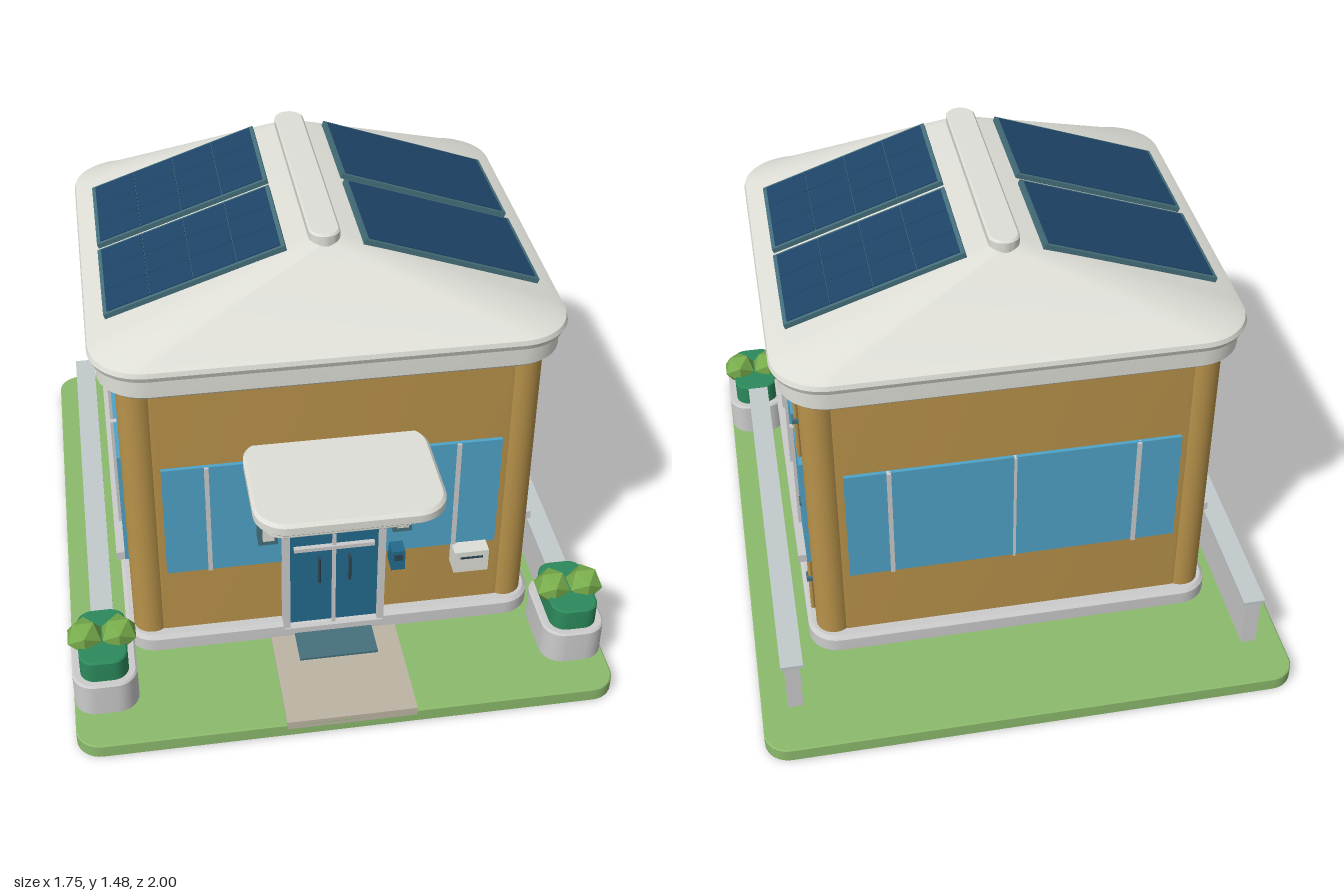
import * as THREE from 'three';
import { toCreasedNormals } from 'three/addons/utils/BufferGeometryUtils.js';

const C = {
  grey: 0xcccccc, roof: 0xdfdfd8, ochre: 0xb8924a, glass: 0x4fa3c7, door: 0x23698c, cell: 0x1f4468,
  panel: 0x46707c, dark: 0x2c4450, lawn: 0x8cba6c, path: 0xbcb5a3, crate: 0x2c8a5c, leaf: 0x78ad4c, coping: 0xc2cacc,
};
const mats = {};
const mat = (color, flatShading = false) =>
  (mats[color + '-' + flatShading] ??= new THREE.MeshStandardMaterial({ color, flatShading }));

function add(parent, name, geometry, color, x = 0, y = 0, z = 0, flat = false) {
  const mesh = new THREE.Mesh(geometry, mat(color, flat));
  mesh.name = name;
  mesh.position.set(x, y, z);
  parent.add(mesh);
  return mesh;
}

// Box given by its lower and upper limits on each axis
const box = (parent, name, color, [x0, x1], [y0, y1], [z0, z1]) =>
  add(parent, name, new THREE.BoxGeometry(x1 - x0, y1 - y0, z1 - z0), color, (x0 + x1) / 2, (y0 + y1) / 2, (z0 + z1) / 2);

// Capped loft through rounded rectangles [half width, half depth, corner radius, height]
function loft(sections, n = 8) {
  const pos = [], idx = [], count = 4 * (n + 1);
  for (const [hx, hz, r, y] of sections)
    for (let q = 0; q < 4; q++)
      for (let k = 0; k <= n; k++) {
        const a = (q + k / n) * Math.PI / 2;
        const sx = q === 0 || q === 3 ? 1 : -1, sz = q < 2 ? -1 : 1;
        pos.push(sx * (hx - r) + r * Math.cos(a), y, sz * (hz - r) - r * Math.sin(a));
      }
  const last = (sections.length - 1) * count, bottom = pos.length / 3, top = bottom + 1;
  pos.push(0, sections[0][3], 0, 0, sections.at(-1)[3], 0);
  for (let i = 0; i < count; i++) {
    const j = (i + 1) % count;
    for (let o = 0; o < last; o += count)
      idx.push(o + i, o + j, o + count + j, o + i, o + count + j, o + count + i);
    idx.push(bottom, j, i, top, last + i, last + j);
  }
  const g = new THREE.BufferGeometry();
  g.setAttribute('position', new THREE.Float32BufferAttribute(pos, 3));
  g.setIndex(idx);
  return toCreasedNormals(g, 0.6);
}

// Rounded slab with softened upper and lower edges
const slab = (hx, hz, r, y0, y1, b = 0.01) =>
  loft([[hx - b, hz - b, r - b, y0], [hx, hz, r, y0 + b], [hx, hz, r, y1 - b], [hx - b, hz - b, r - b, y1]]);

function solarPanel(parent, side, z) {
  const panel = new THREE.Group();
  panel.name = 'solarPanel';
  panel.position.set(side * 0.395, 1.341, z);
  panel.rotation.z = -side * 0.335;
  box(panel, 'panelFrame', C.panel, [-0.292, 0.292], [-0.014, 0.006], [-0.19, 0.19]);
  for (let i = 0; i < 4; i++)
    for (let j = 0; j < 3; j++)
      add(panel, 'solarCell', new THREE.BoxGeometry(0.138, 0.006, 0.118), C.cell, (i - 1.5) * 0.14, 0.006, (j - 1) * 0.12);
  parent.add(panel);
}

function planter(parent, side) {
  const g = new THREE.Group();
  g.name = 'planter';
  g.position.set(side * 0.765, 0, 0.72);
  add(g, 'planterBase', slab(0.103, 0.145, 0.07, 0.045, 0.172, 0.006), C.grey);
  add(g, 'plantBox', slab(0.077, 0.122, 0.05, 0.165, 0.25, 0.005), C.crate);
  for (const s of [-1, 1])
    add(g, 'bush', new THREE.IcosahedronGeometry(0.062, 0), C.leaf, s * 0.055, 0.258, 0, true);
  parent.add(g);
}

function entrance(parent) {
  const g = new THREE.Group();
  g.name = 'entrance';
  box(g, 'doorLeaves', C.door, [-0.15, 0.15], [0.09, 0.66], [0.57, 0.612]);
  for (const s of [-1, 1]) {
    box(g, 'doorJamb', C.grey, [s * 0.157 - 0.011, s * 0.157 + 0.011], [0.09, 0.67], [0.57, 0.63]);
    add(g, 'doorHandle', new THREE.CylinderGeometry(0.005, 0.005, 0.1, 10), C.dark, s * 0.05, 0.35, 0.632);
    for (const y of [0.31, 0.39]) box(g, 'handleMount', C.dark, [s * 0.05 - 0.004, s * 0.05 + 0.004], [y - 0.004, y + 0.004], [0.61, 0.632]);
    // Wall lamps on either side
    const x = s * 0.217;
    box(g, 'lampHousing', C.panel, [x - 0.031, x + 0.031], [0.49, 0.6], [0.58, 0.64]);
    box(g, 'lampLens', C.roof, [x - 0.018, x + 0.018], [0.515, 0.575], [0.63, 0.652]);
  }
  box(g, 'doorMullion', C.grey, [-0.006, 0.006], [0.1, 0.66], [0.6, 0.622]);
  box(g, 'doorRail', C.grey, [-0.132, 0.132], [0.431, 0.445], [0.6, 0.628]);
  box(g, 'threshold', C.grey, [-0.165, 0.165], [0.085, 0.105], [0.57, 0.635]);
  add(g, 'lowerCanopy', slab(0.245, 0.125, 0.06, 0.657, 0.704), C.roof, 0, 0, 0.69);
  add(g, 'upperCanopy', slab(0.29, 0.215, 0.1, 0.802, 0.848), C.roof, 0, 0, 0.755);
  box(g, 'path', C.path, [-0.21, 0.21], [0.03, 0.06], [0.6, 1]);
  box(g, 'doormat', C.panel, [-0.13, 0.13], [0.055, 0.068], [0.61, 0.74]);
  // Door intercom and letter box
  box(g, 'intercom', C.door, [0.185, 0.23], [0.33, 0.408], [0.58, 0.645]);
  box(g, 'intercomScreen', C.dark, [0.194, 0.221], [0.372, 0.395], [0.64, 0.649]);
  box(g, 'letterBox', C.roof, [0.395, 0.51], [0.29, 0.375], [0.58, 0.645]);
  box(g, 'letterSlot', C.dark, [0.415, 0.49], [0.348, 0.355], [0.64, 0.648]);
  parent.add(g);
}

export function createModel() {
  const model = new THREE.Group();
  model.name = 'house';
  add(model, 'lawn', slab(0.87, 1, 0.08, 0, 0.05, 0.004), C.lawn);

  // Body: plinth, rounded walls, corner columns
  add(model, 'plinth', slab(0.685, 0.62, 0.1, 0.045, 0.115, 0.012), C.grey);
  add(model, 'walls', loft([[0.65, 0.58, 0.1, 0.1], [0.65, 0.58, 0.1, 1.13]]), C.ochre);
  for (const sx of [-1, 1])
    for (const sz of [-1, 1])
      add(model, 'cornerColumn', new THREE.CylinderGeometry(0.06, 0.06, 1.02, 24), C.ochre, sx * 0.598, 0.61, sz * 0.53);

  // Eaves, hipped roof and ridge cap
  add(model, 'eaves', slab(0.71, 0.645, 0.15, 1.1, 1.18, 0.012), C.roof);
  add(model, 'roof', loft([
    [0.7, 0.635, 0.14, 1.165], [0.725, 0.66, 0.165, 1.178], [0.732, 0.667, 0.17, 1.195],
    [0.728, 0.663, 0.17, 1.21], [0.7, 0.637, 0.16, 1.224], [0.055, 0.41, 0.05, 1.449],
  ], 12), C.roof);
  add(model, 'ridgeCap', slab(0.048, 0.418, 0.047, 1.435, 1.48, 0.006), C.roof);

  // Front and back window bands with mullions
  for (const s of [-1, 1]) {
    add(model, 'windowBand', new THREE.BoxGeometry(1.08, 0.42, 0.03), C.glass, 0, 0.58, s * 0.578);
    for (const x of [-0.4, 0, 0.4])
      add(model, 'mullion', new THREE.BoxGeometry(x ? 0.014 : 0.008, 0.42, 0.02), C.grey, x, 0.58, s * 0.591);
  }

  // Everything mirrored left and right
  for (const s of [-1, 1]) {
    add(model, 'sideWindow', new THREE.BoxGeometry(0.04, 0.42, 1.01), C.glass, s * 0.65, 0.58, 0);
    for (const z of [-0.31, 0, 0.31])
      add(model, 'sideMullion', new THREE.BoxGeometry(0.02, 0.42, z ? 0.018 : 0.009), C.grey, s * 0.67, 0.58, z);
    add(model, 'windowSill', new THREE.BoxGeometry(0.06, 0.03, 0.95), C.grey, s * 0.667, 0.359, 0);
    add(model, 'gutterSlot', new THREE.BoxGeometry(0.012, 0.008, 0.95), C.dark, s * 0.709, 1.172, 0);

    // Downpipe with brackets
    add(model, 'downpipe', new THREE.CylinderGeometry(0.008, 0.008, 0.98, 12), C.ochre, s * 0.662, 0.6, -0.46);
    for (const y of [0.26, 0.6, 0.94])
      add(model, 'pipeBracket', new THREE.BoxGeometry(0.032, 0.014, 0.034), C.panel, s * 0.66, y, -0.46);

    // Boundary wall and coping
    add(model, 'boundaryWall', new THREE.BoxGeometry(0.05, 0.19, 1.42), C.grey, s * 0.76, 0.14, -0.115);
    add(model, 'wallCoping', new THREE.BoxGeometry(0.072, 0.012, 1.43), C.coping, s * 0.76, 0.238, -0.115);

    planter(model, s);
    for (const z of [-0.207, 0.207]) solarPanel(model, s, z);
  }

  entrance(model);
  return model;
}
